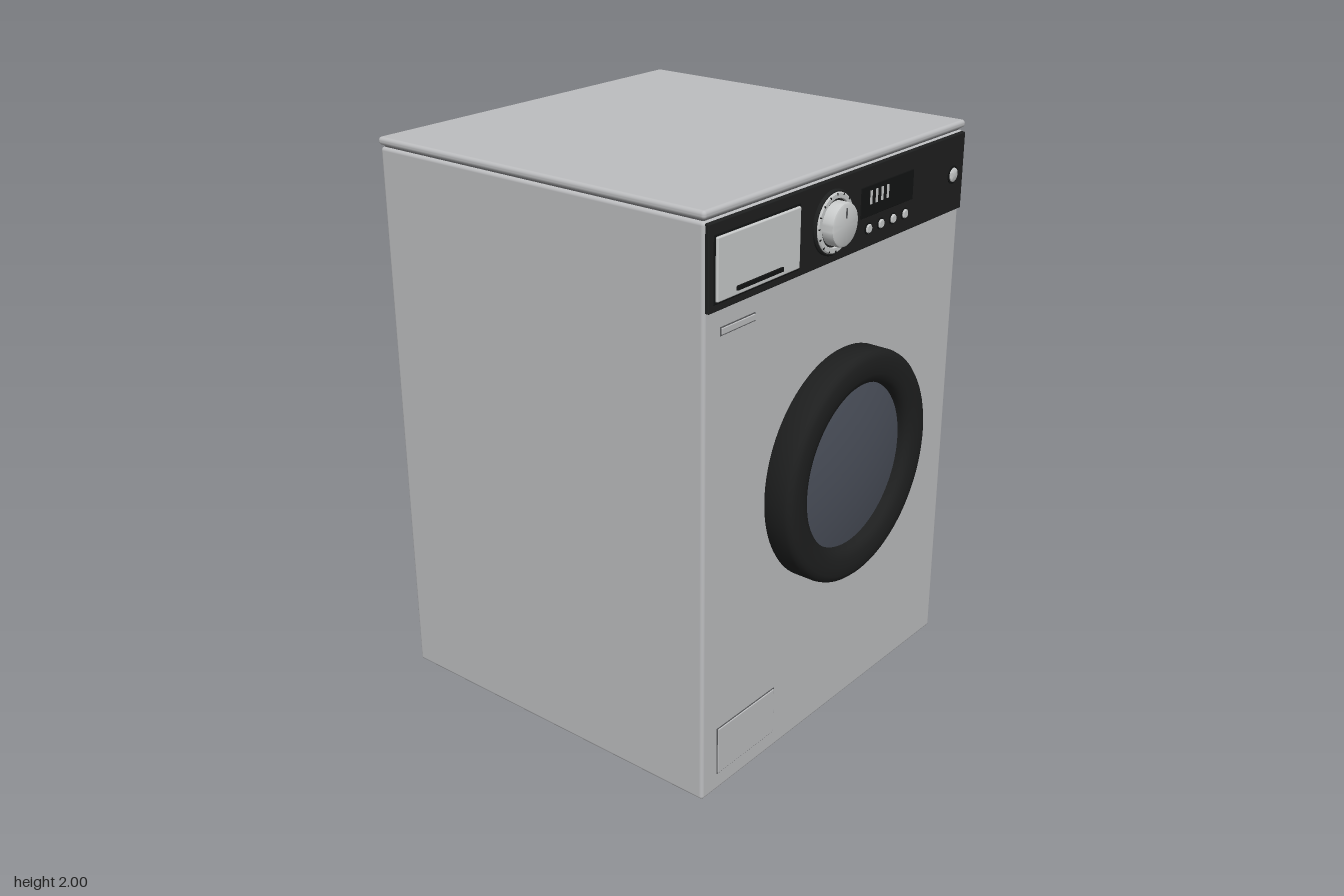
import * as THREE from 'three';
import { RoundedBoxGeometry } from 'three/addons/geometries/RoundedBoxGeometry.js';
import { toCreasedNormals } from 'three/addons/utils/BufferGeometryUtils.js';

const mat = (name, color) => {
  const m = new THREE.MeshStandardMaterial({ color });
  m.name = name;
  return m;
};

export function createModel() {
  const silver = mat('silver enamel', 0xbcbdbf);
  const light = mat('light trim', 0xc8caca);
  const black = mat('black plastic', 0x1e1f1f);
  const screen = mat('screen black', 0x121313);
  const glass = mat('smoked glass', 0x4b505b);
  const groove = mat('groove grey', 0x5c5d5f);

  const model = new THREE.Group();
  model.name = 'washingMachine';

  const add = (name, geometry, material, parent = model) => {
    const mesh = new THREE.Mesh(geometry, material);
    mesh.name = name;
    parent.add(mesh);
    return mesh;
  };
  // Rounded block given by its limits on each axis
  const block = (name, material, [x0, x1], [y0, y1], [z0, z1], r = 0.004, parent = model) => {
    const mesh = add(name, new RoundedBoxGeometry(x1 - x0, y1 - y0, z1 - z0, 3, r), material, parent);
    mesh.position.set((x0 + x1) / 2, (y0 + y1) / 2, (z0 + z1) / 2);
    return mesh;
  };
  // Turned part: profile of [radius, height], optionally facing the front
  const turned = (name, material, profile, x, y, z, { front = true, sides = 48, parent = model } = {}) => {
    const points = profile.map(([r, h]) => new THREE.Vector2(r, h));
    const geometry = toCreasedNormals(new THREE.LatheGeometry(points, sides), 0.6);
    if (front) geometry.rotateX(Math.PI / 2);
    const mesh = add(name, geometry, material, parent);
    mesh.position.set(x, y, z);
    return mesh;
  };

  // Cabinet and lid
  block('cabinet', silver, [-0.7, 0.7], [0.03, 1.967], [-0.72, 0.62], 0.012);
  block('lidGap', groove, [-0.69, 0.69], [1.96, 1.98], [-0.71, 0.61], 0.002);
  block('lid', silver, [-0.705, 0.705], [1.973, 2], [-0.725, 0.625], 0.012);

  // Control panel
  block('controlPanel', black, [-0.693, 0.693], [1.698, 1.962], [0.6, 0.632]);

  // Detergent drawer with its grip slot
  block('drawerGap', screen, [-0.672, -0.26], [1.72, 1.927], [0.62, 0.634], 0.003);
  block('drawerFront', light, [-0.665, -0.267], [1.728, 1.92], [0.62, 0.642], 0.005);
  block('drawerGrip', screen, [-0.578, -0.355], [1.742, 1.757], [0.638, 0.647], 0.003);

  // Programme dial
  const dial = new THREE.Group();
  dial.name = 'programmeDial';
  dial.position.set(-0.09, 1.828, 0.632);
  model.add(dial);
  turned('dialBase', black, [[0.104, 0], [0.104, 0.006], [0.1, 0.01], [0, 0.01]], 0, 0, 0, { parent: dial });
  turned('dialRing', light,
    [[0.096, 0.008], [0.096, 0.013], [0.092, 0.016], [0.078, 0.016], [0.075, 0.008]], 0, 0, 0, { parent: dial });
  turned('dialKnob', light,
    [[0.07, 0.008], [0.07, 0.042], [0.068, 0.048], [0.062, 0.051], [0, 0.051]], 0, 0, 0, { parent: dial });
  const pointer = add('dialPointer', new THREE.BoxGeometry(0.006, 0.032, 0.004), groove, dial);
  pointer.position.set(0, 0.038, 0.051);
  for (let i = 0; i < 16; i++) {
    const a = (i / 16) * Math.PI * 2;
    const tick = add('dialTick', new THREE.BoxGeometry(0.004, 0.007, 0.003), black, dial);
    tick.position.set(Math.sin(a) * 0.091, Math.cos(a) * 0.091, 0.016);
    tick.rotation.z = -a;
  }

  // Display window with plain lit bars
  block('displayWindow', screen, [0.065, 0.37], [1.8, 1.9], [0.628, 0.635], 0.002);
  for (const x of [0.118, 0.15, 0.182, 0.214]) {
    const bar = add('displayBar', new THREE.BoxGeometry(0.01, 0.044, 0.003), light);
    bar.position.set(x, 1.861, 0.636);
  }

  // Push buttons and power button
  const button = (name, x, y, r) => {
    turned(name + 'Rim', screen, [[r * 1.3, 0], [r * 1.3, 0.003], [0, 0.003]], x, y, 0.632, { sides: 24 });
    turned(name, light, [[r, 0], [r, 0.006], [r * 0.8, 0.009], [0, 0.009]], x, y, 0.632, { sides: 24 });
  };
  for (let i = 0; i < 4; i++) button('optionButton', 0.112 + i * 0.071, 1.761, 0.015);
  button('powerButton', 0.623, 1.828, 0.024);

  // Raised badge plate and filter hatch, each with a thin groove round it
  const plate = (name, [x0, x1], [y0, y1]) => {
    block(name + 'Groove', groove, [x0, x1], [y0, y1], [0.612, 0.6215], 0.001);
    block(name, silver, [x0 + 0.004, x1 - 0.004], [y0 + 0.004, y1 - 0.004], [0.612, 0.625], 0.002);
  };
  plate('badgePlate', [-0.625, -0.458], [1.612, 1.64]);
  plate('filterHatch', [-0.625, -0.318], [0.092, 0.268]);

  // Door: rounded ring with a shallow domed window
  const door = new THREE.Group();
  door.name = 'door';
  door.position.set(0, 0.992, 0.615);
  model.add(door);
  turned('doorRing', black, [
    [0.39, 0], [0.398, 0.012], [0.398, 0.082], [0.395, 0.094], [0.386, 0.104], [0.372, 0.109],
    [0.345, 0.11], [0.318, 0.108], [0.3, 0.102], [0.289, 0.092], [0.284, 0.08], [0.282, 0.04],
  ], 0, 0, 0, { sides: 96, parent: door });
  const dome = [];
  for (let i = 0; i <= 10; i++) {
    const t = i / 10;
    dome.push([0.284 * (1 - t), 0.066 + 0.026 * (1 - (1 - t) ** 2)]);
  }
  turned('doorWindow', glass, dome, 0, 0, 0, { sides: 96, parent: door });

  // Feet
  for (const x of [-0.587, 0.587]) {
    for (const z of [-0.605, 0.5]) {
      turned('foot', black, [
        [0, 0], [0.03, 0], [0.034, 0.004], [0.034, 0.018], [0.03, 0.022], [0.022, 0.023], [0.022, 0.035],
      ], x, 0, z, { front: false, sides: 24 });
    }
  }

  return model;
}
